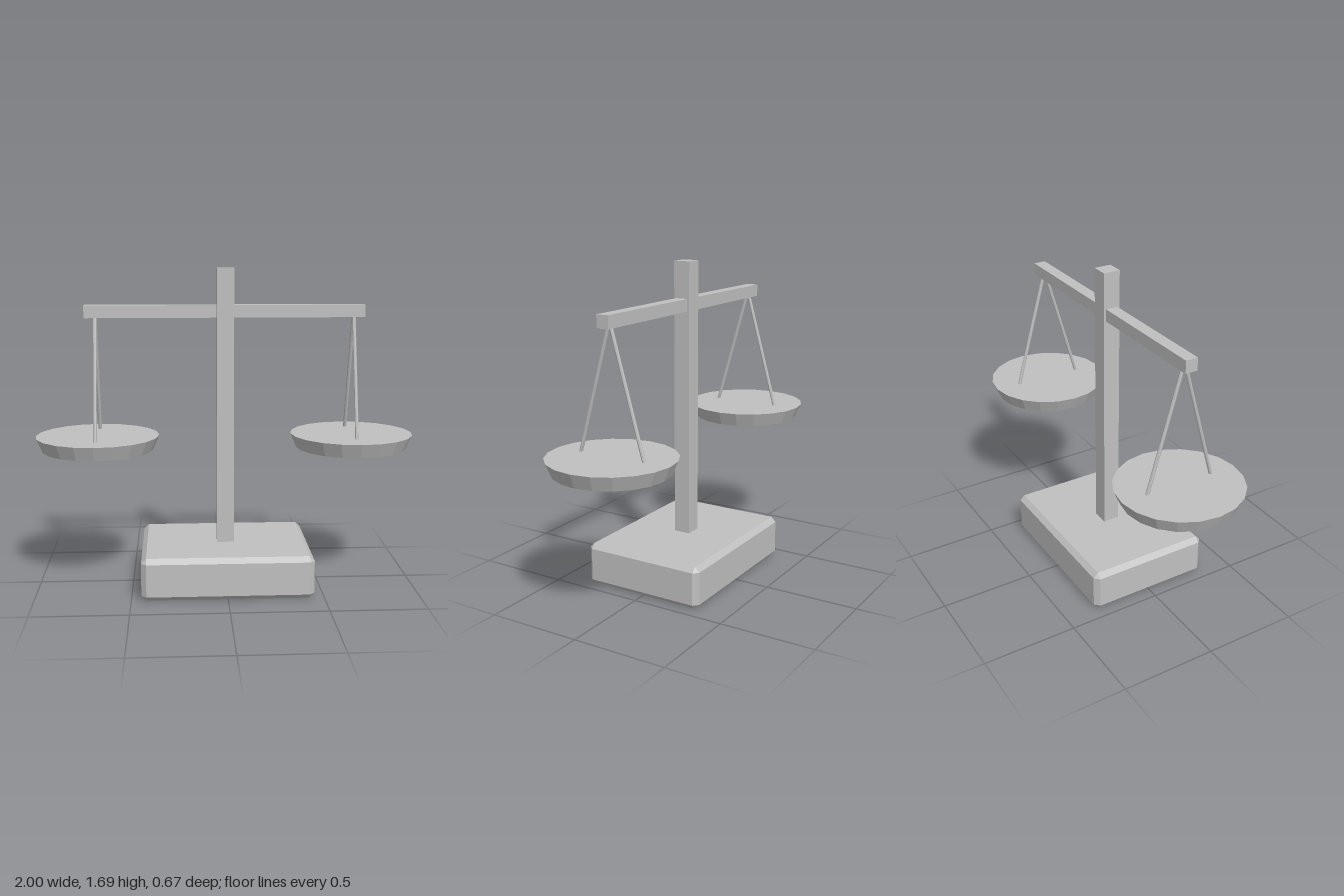
import * as THREE from 'three';
import { ConvexGeometry } from 'three/addons/geometries/ConvexGeometry.js';

const grey = new THREE.MeshStandardMaterial({ name: 'grey', color: 0xc0c0c0, flatShading: true });

function add(parent, name, geometry, x = 0, y = 0, z = 0) {
  const mesh = new THREE.Mesh(geometry, grey);
  mesh.name = name;
  mesh.position.set(x, y, z);
  parent.add(mesh);
  return mesh;
}

// Box with every edge cut at 45 degrees: three points around each corner
function chamferedBox(w, h, d, c) {
  const points = [];
  for (const sx of [-1, 1]) for (const sy of [-1, 1]) for (const sz of [-1, 1]) {
    const x = w / 2, y = h / 2, z = d / 2;
    points.push(
      new THREE.Vector3(sx * x, sy * (y - c), sz * (z - c)),
      new THREE.Vector3(sx * (x - c), sy * y, sz * (z - c)),
      new THREE.Vector3(sx * (x - c), sy * (y - c), sz * z));
  }
  return new ConvexGeometry(points);
}

// Thin rod between two points
function addRod(parent, name, from, to, radius) {
  const dir = to.clone().sub(from);
  const rod = add(parent, name, new THREE.CylinderGeometry(radius, radius, dir.length(), 8));
  rod.position.copy(from).addScaledVector(dir, 0.5);
  rod.quaternion.setFromUnitVectors(new THREE.Vector3(0, 1, 0), dir.normalize());
}

export function createModel() {
  const model = new THREE.Group();
  model.name = 'balanceScale';

  // Stand
  add(model, 'base', chamferedBox(0.895, 0.225, 0.67, 0.026), 0, 0.1125, 0);
  add(model, 'post', new THREE.BoxGeometry(0.09, 1.47, 0.09), 0, 0.95, 0);
  add(model, 'beam', new THREE.BoxGeometry(1.46, 0.065, 0.065), 0, 1.4625, 0);

  // Hanging pans, one at each end of the beam
  for (const [side, sx] of [['left', 1], ['right', -1]]) {
    const hanger = new THREE.Group();
    hanger.name = side + 'Hanger';
    hanger.position.x = sx * 0.675;
    model.add(hanger);
    add(hanger, 'pan', new THREE.CylinderGeometry(0.325, 0.293, 0.075, 20), 0, 0.7725, 0);
    for (const [end, sz] of [['front', 1], ['back', -1]]) {
      addRod(hanger, end + 'Rod',
        new THREE.Vector3(0, 1.46, 0), new THREE.Vector3(0, 0.8, sz * 0.187), 0.0095);
    }
  }
  return model;
}
